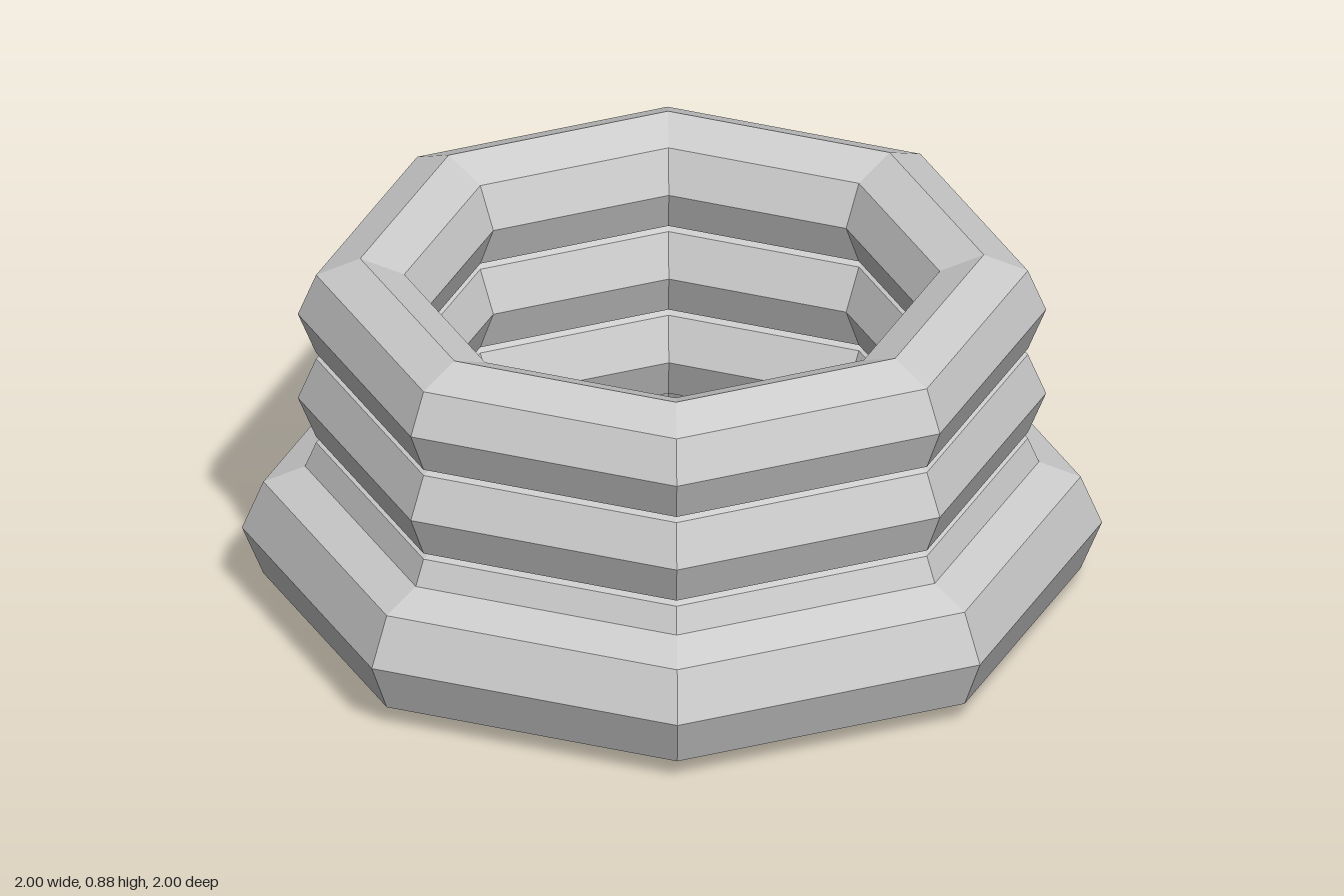
import * as THREE from 'three';

export function createModel() {
  const model = new THREE.Group();
  model.name = 'ringStack';
  const material = new THREE.MeshStandardMaterial({ color: 0xcccccc, flatShading: true });

  // Horizontal eight-sided ring with an eight-sided section
  function addRing(name, radius, tube, y) {
    const geometry = new THREE.TorusGeometry(radius, tube, 8, 8);
    geometry.rotateX(-Math.PI / 2);
    const ring = new THREE.Mesh(geometry, material);
    ring.name = name;
    ring.position.y = y;
    model.add(ring);
  }

  // Wide base ring
  addRing('baseRing', 0.83, 0.17, 0.17);

  // Three equal rings stacked above, overlapping each other
  ['lowerRing', 'middleRing', 'upperRing'].forEach((name, i) => {
    addRing(name, 0.725, 0.145, 0.29 + i * 0.22);
  });

  return model;
}
